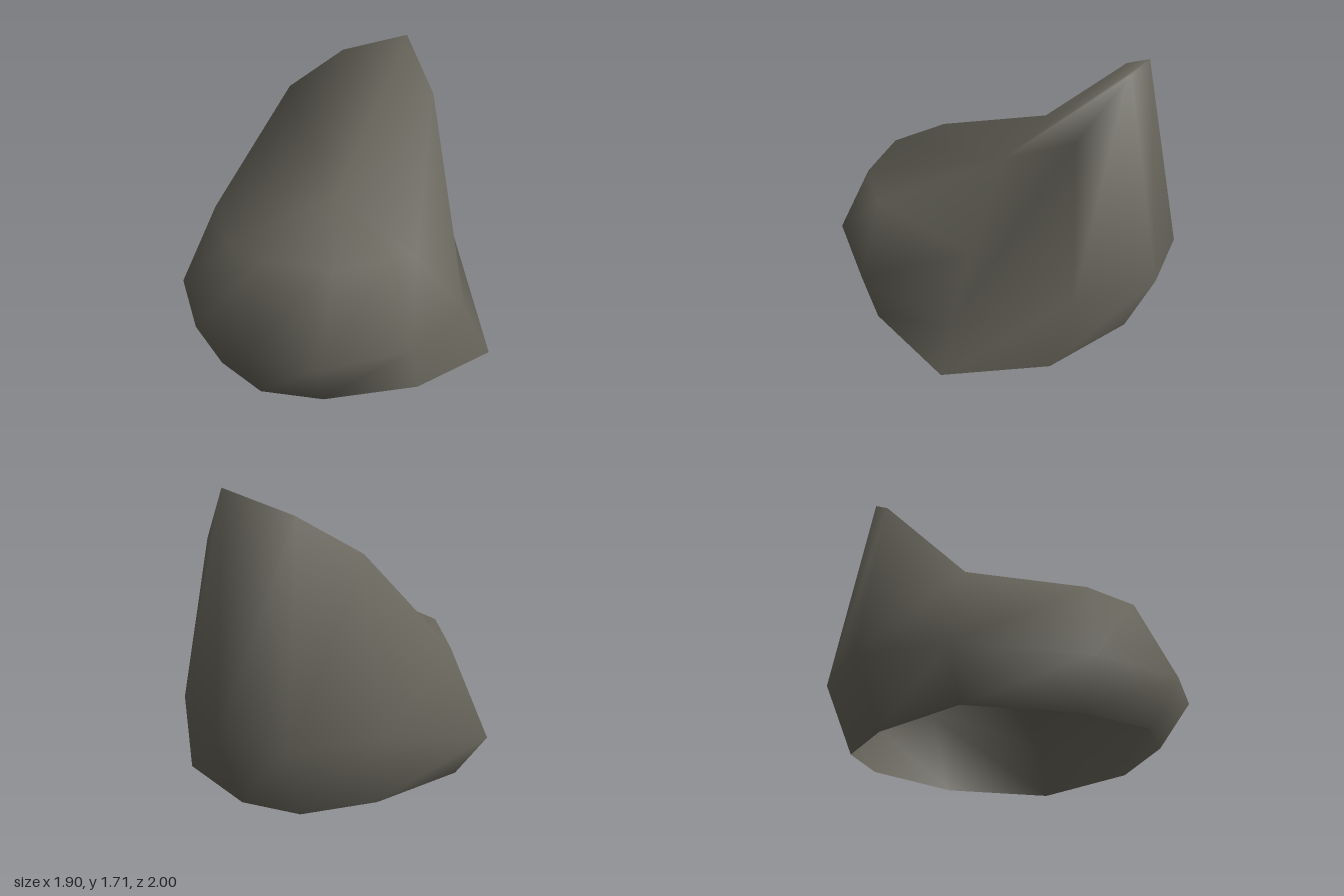
import * as THREE from 'three';

export function createModel() {
  const group = new THREE.Group();
  const stone = new THREE.MeshStandardMaterial({ color: 0x66645a, side: THREE.DoubleSide });
  stone.name = 'dark stone';

  // Ten-sided cross-sections, running from +x through +z, as [x, y, z]
  const base = [
    [0.95, 0, 0], [0.64, 0, 0.55], [0.19, 0, 0.83], [-0.16, 0, 0.83], [-0.49, 0, 0.55],
    [-0.77, 0, 0], [-0.5, 0, -0.53], [-0.18, 0, -0.83], [0.17, 0, -0.83], [0.66, 0, -0.54],
  ];
  const belly = [
    [0.8, 0.25, 0], [0.62, 0.25, 0.65], [0.22, 0.25, 1], [-0.19, 0.25, 1], [-0.6, 0.25, 0.65],
    [-0.95, 0.25, 0], [-0.6, 0.42, -0.65], [-0.19, 0.42, -1], [0.22, 0.42, -1], [0.62, 0.48, -0.65],
  ];
  // The first rim point sinks inwards as a dent
  const rim = [
    [0.52, 0.55, 0], [0.48, 0.72, 0.58], [0.22, 0.72, 0.78], [-0.14, 0.72, 0.78], [-0.43, 0.72, 0.58],
    [-0.72, 0.75, 0], [-0.43, 1.39, -0.58], [-0.14, 1.6, -0.78], [0.27, 1.71, -0.78], [0.48, 1.39, -0.58],
  ];
  const n = base.length;
  const points = [...base, ...belly, ...rim, [0.02, 0.87, 0]];
  const top = points.length - 1;

  const index = [];
  for (let i = 0; i < n; i++) {
    const j = (i + 1) % n;
    // Side walls between neighbouring rings; the underside stays open
    for (const a of [0, n]) {
      const b = a + n;
      index.push(a + i, b + i, a + j, b + i, b + j, a + j);
    }
    // Sloping crown, fanned from its centre
    index.push(top, 2 * n + j, 2 * n + i);
  }

  const geometry = new THREE.BufferGeometry();
  geometry.setAttribute('position', new THREE.Float32BufferAttribute(points.flat(), 3));
  geometry.setIndex(index);
  geometry.computeVertexNormals();

  const rock = new THREE.Mesh(geometry, stone);
  rock.name = 'rock';
  group.add(rock);
  return group;
}
